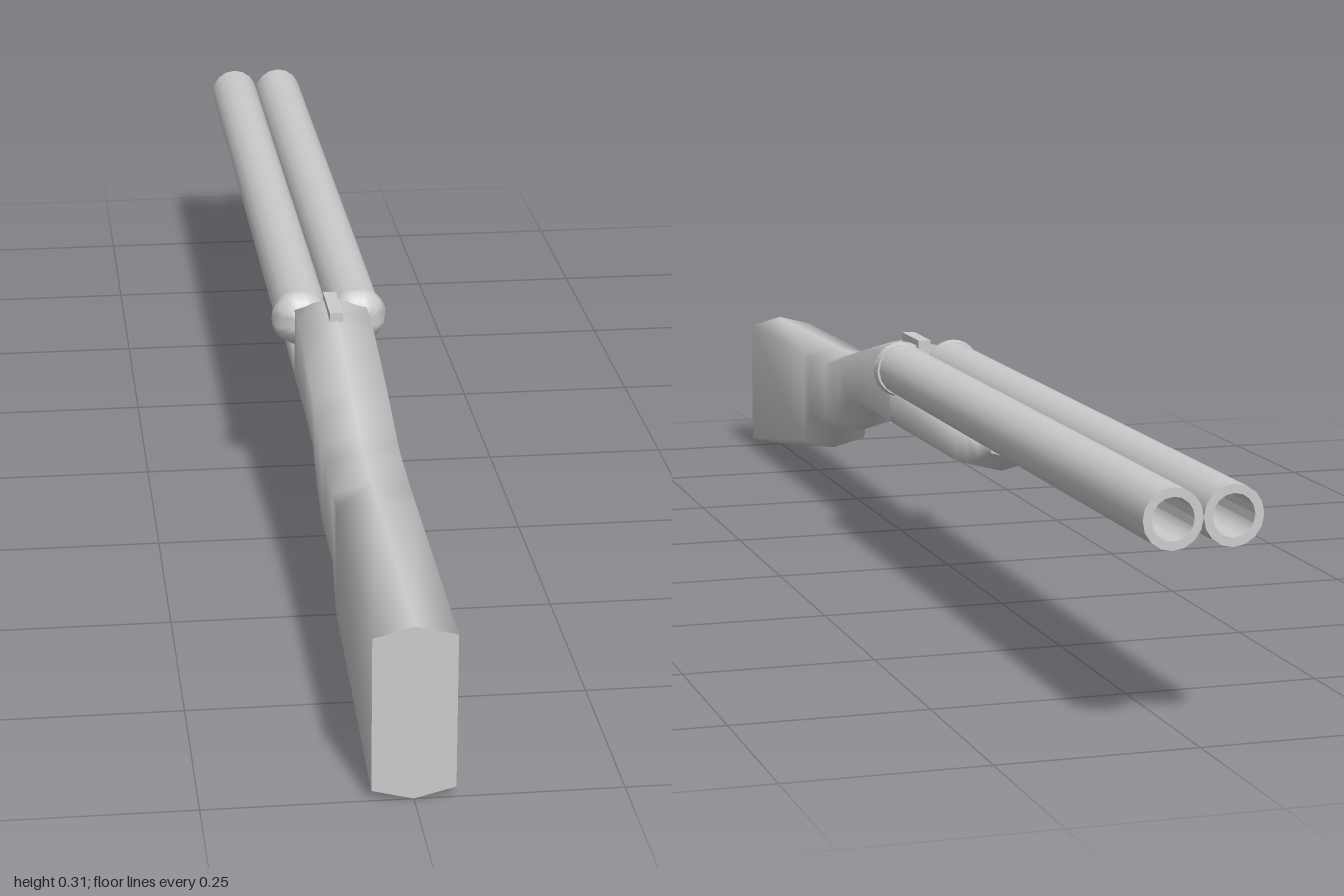
import * as THREE from 'three';
import { toCreasedNormals } from 'three/addons/utils/BufferGeometryUtils.js';

const material = new THREE.MeshStandardMaterial({ color: 0xcccccc });

function addMesh(parent, name, geometry) {
  const mesh = new THREE.Mesh(geometry, material);
  mesh.name = name;
  parent.add(mesh);
  return mesh;
}

// Lofts six-sided sections [z, bottomY, topY, halfWidth] with ridged top and bottom, from +z to -z.
function loft(sections, ridge) {
  const pos = [], index = [], N = 6;
  const addRing = ([z, b, t, w]) => {
    pos.push(w, b + ridge, z, w, t - ridge, z, 0, t, z, -w, t - ridge, z, -w, b + ridge, z, 0, b, z);
  };
  sections.forEach(addRing);
  for (let s = 0; s < sections.length - 1; s++) {
    for (let i = 0; i < N; i++) {
      const j = (i + 1) % N;
      const a = s * N + i, b = s * N + j, c = b + N, d = a + N;
      index.push(a, d, b, b, d, c);
    }
  }
  // Flat end caps on their own vertices
  const front = sections.length * N, back = front + N;
  addRing(sections[0]);
  addRing(sections[sections.length - 1]);
  for (let i = 1; i < N - 1; i++) {
    index.push(front, front + i, front + i + 1, back, back + i + 1, back + i);
  }
  const geometry = new THREE.BufferGeometry();
  geometry.setAttribute('position', new THREE.Float32BufferAttribute(pos, 3));
  geometry.setIndex(index);
  geometry.computeVertexNormals();
  return geometry;
}

// Turned part along z from a profile of [radius, z], running from +z to -z on the outside
function turned(profile, sides) {
  const points = profile.map(([r, z]) => new THREE.Vector2(r, -z));
  const geometry = new THREE.LatheGeometry(points, sides).rotateX(-Math.PI / 2);
  return toCreasedNormals(geometry, 0.75);
}

export function createModel() {
  const model = new THREE.Group();
  model.name = 'doubleBarrelShotgun';

  // Butt, grip and wrist in one run up to the breech
  addMesh(model, 'stock', loft([
    [1.0, 0.002, 0.224, 0.05],
    [0.64, 0.06, 0.229, 0.05],
    [0.6, 0.112, 0.23, 0.05],
    [0.51, 0.113, 0.234, 0.05],
    [0.47, 0.118, 0.24, 0.05],
    [0.42, 0.136, 0.254, 0.05],
    [0.37, 0.172, 0.267, 0.05],
    [0.3, 0.179, 0.283, 0.05],
    [0.22, 0.18, 0.299, 0.05],
    [0.17, 0.18, 0.305, 0.05],
    [0.13, 0.178, 0.306, 0.05],
  ], 0.013));

  // Fore-end under the barrels, curving up at its tip
  addMesh(model, 'foreEnd', loft([
    [0.13, 0.18, 0.25, 0.05],
    [-0.2, 0.182, 0.25, 0.05],
    [-0.25, 0.187, 0.25, 0.05],
    [-0.29, 0.198, 0.25, 0.047],
    [-0.335, 0.216, 0.25, 0.042],
  ], 0.013));

  // Paired barrels with open muzzles and rounded breech ends
  for (const side of [1, -1]) {
    const prefix = side > 0 ? 'left' : 'right';
    const barrel = addMesh(model, prefix + 'Barrel', turned([
      [0, 0.11], [0.037, 0.11], [0.037, -1], [0.026, -1], [0.026, -0.6], [0, -0.6],
    ], 16));
    barrel.position.set(side * 0.037, 0.273, 0);

    const breech = addMesh(model, prefix + 'Breech', turned([
      [0, 0.142], [0.016, 0.139], [0.029, 0.131], [0.037, 0.12], [0.04, 0.11], [0.037, 0.1], [0, 0.1],
    ], 24));
    breech.position.set(side * 0.04, 0.273, 0);
  }

  // Opening lever on top of the breech
  const lever = addMesh(model, 'topLever', new THREE.BoxGeometry(0.018, 0.014, 0.085));
  lever.position.set(0, 0.305, 0.163);

  return model;
}
